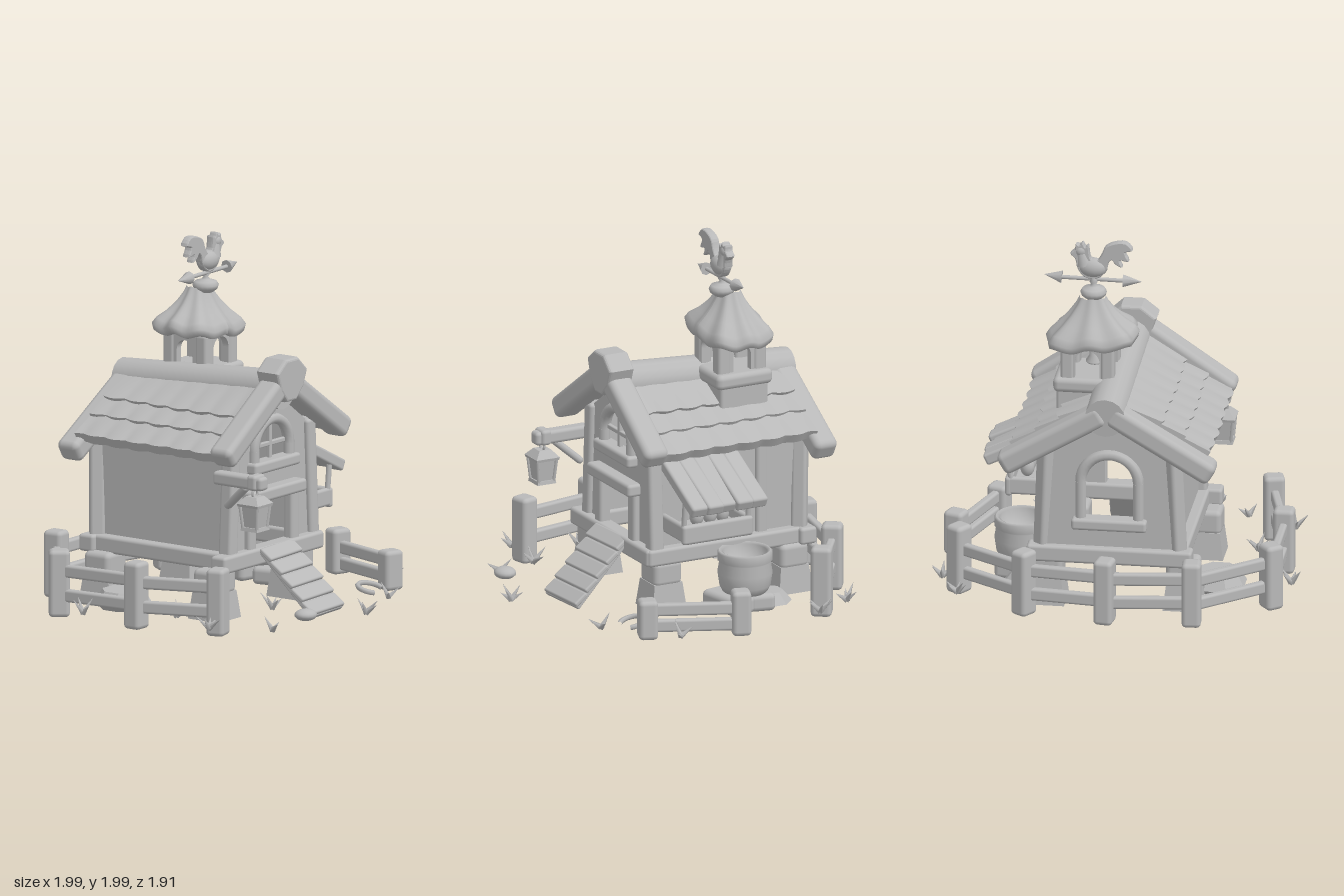
import * as THREE from 'three';
import { RoundedBoxGeometry } from 'three/addons/geometries/RoundedBoxGeometry.js';

const clay = new THREE.MeshStandardMaterial({ color: 0xb8b8b8 });
clay.name = 'clay grey';
const V = (x, y, z) => new THREE.Vector3(x, y, z);
const P = list => list.map(p => new THREE.Vector2(...p));

export function createModel() {
  const root = new THREE.Group();
  root.name = 'henHouse';
  let seed = 7;
  const rnd = () => (seed = (seed * 16807) % 2147483647) / 2147483647;

  const add = (name, geo, x = 0, y = 0, z = 0) => {
    const m = new THREE.Mesh(geo, clay);
    m.name = name;
    m.position.set(x, y, z);
    root.add(m);
    return m;
  };
  const block = (name, w, h, d, x, y, z, r = 0.018) =>
    add(name, new RoundedBoxGeometry(w, h, d, 2, Math.min(r, w / 2.1, h / 2.1, d / 2.1)), x, y, z);
  // rounded timber from point a to point b
  const beam = (name, a, b, w, h, r = 0.02) => {
    const m = block(name, w, h, a.distanceTo(b), 0, 0, 0, r);
    m.position.copy(a).lerp(b, 0.5);
    m.lookAt(b);
    return m;
  };
  const rod = (name, a, b, r0, r1 = r0, sides = 10) => {
    const m = add(name, new THREE.CylinderGeometry(r1, r0, a.distanceTo(b), sides));
    m.position.copy(a).lerp(b, 0.5);
    m.quaternion.setFromUnitVectors(V(0, 1, 0), b.clone().sub(a).normalize());
    return m;
  };
  // tapered prism with flat faces
  const prism = (name, r1, r0, h, sides, x, y, z) => {
    const g = new THREE.CylinderGeometry(r1, r0, h, sides).toNonIndexed();
    g.computeVertexNormals();
    const m = add(name, g, x, y, z);
    m.rotation.y = Math.PI / sides;
    return m;
  };
  const lathe = (name, pts, x, z, sides = 16) => add(name, new THREE.LatheGeometry(P(pts), sides), x, 0, z);
  const ball = (name, x, y, z, rx, ry = rx, rz = rx) =>
    add(name, new THREE.SphereGeometry(1, 14, 10), x, y, z).scale.set(rx, ry, rz);
  const archHole = (x, bottom, spring, r) => {
    const h = new THREE.Path();
    h.moveTo(x - r, bottom).lineTo(x + r, bottom).absarc(x, spring, r, 0, Math.PI, false);
    h.closePath();
    return h;
  };

  // hollow walls: doorway and arched window in front, arched opening behind
  const gable = (apex, holes) => {
    const s = new THREE.Shape(P([[-0.37, 0.32], [0.37, 0.32], [0.35, 0.97], [0, apex], [-0.35, 0.97]]));
    s.holes.push(...holes);
    return new THREE.ExtrudeGeometry(s, { depth: 0.025, bevelEnabled: false, curveSegments: 14 });
  };
  const door = new THREE.Path(P([[-0.17, 0.37], [-0.17, 0.64], [0.15, 0.64], [0.15, 0.37]]));
  add('frontWall', gable(1.22, [door, archHole(-0.01, 0.82, 0.9, 0.145)]), 0, 0, 0.21);
  add('backWall', gable(1.15, [archHole(0, 0.53, 0.75, 0.145)]), 0, 0, -0.69);
  for (const s of [-1, 1]) {
    add('sideWall', new THREE.BoxGeometry(0.025, 0.68, 0.9), s * 0.35, 0.66, -0.23);
    beam('frontCornerPost', V(s * 0.37, 0.34, 0.22), V(s * 0.335, 1.0, 0.22), 0.085, 0.08);
    beam('backCornerPost', V(s * 0.37, 0.34, -0.66), V(s * 0.345, 0.95, -0.68), 0.085, 0.08);
    block('sideSill', 0.1, 0.095, 1.0, s * 0.37, 0.325, -0.22);
  }
  beam('sideMiddlePost', V(0.36, 0.34, -0.43), V(0.36, 0.95, -0.43), 0.05, 0.07);
  block('frontSill', 0.9, 0.095, 0.1, -0.04, 0.325, 0.24);
  block('backSill', 0.9, 0.095, 0.1, 0, 0.325, -0.68);

  // doorway frame
  block('doorPost', 0.07, 0.29, 0.06, -0.205, 0.5, 0.24);
  block('doorPost', 0.075, 0.29, 0.06, 0.18, 0.5, 0.24);
  block('doorLintel', 0.49, 0.07, 0.1, -0.015, 0.66, 0.26);
  block('gablePost', 0.06, 0.14, 0.04, 0, 1.13, 0.235);

  // arched frames, front and back
  const archFrame = (x, bottom, spring, z) => {
    add('archFrame', new THREE.TorusGeometry(0.157, 0.03, 8, 18, Math.PI), x, spring, z);
    for (const s of [-1, 1]) rod('archLeg', V(x + s * 0.157, bottom, z), V(x + s * 0.157, spring, z), 0.03);
    block('archSill', 0.41, 0.065, 0.1, x, bottom - 0.02, z);
  };
  archFrame(-0.01, 0.83, 0.9, 0.245);
  archFrame(0, 0.53, 0.75, -0.695);
  block('windowBar', 0.025, 0.24, 0.025, -0.01, 0.93, 0.23, 0.006);
  block('windowBar', 0.29, 0.025, 0.025, -0.01, 0.92, 0.23, 0.006);

  // stone piers
  for (const [x, z] of [[-0.41, 0.16], [0.31, 0.15], [-0.39, -0.59], [0.35, -0.6]]) {
    block('pierTop', 0.18, 0.14, 0.17, x, 0.22, z, 0.03);
    prism('pierBase', 0.12, 0.145, 0.15, 4, x, 0.09, z);
  }

  // roof courses with scalloped lower edges, the ridge dipping to the back
  const course = (s, x0, y0, x1, y1, k) => {
    const len = Math.hypot(x1 - x0, y1 - y0), tilt = Math.atan2(y1 - y0, x1 - x0);
    const g = new THREE.BoxGeometry(len, 0.045, 0.94, 4, 1, 48);
    const p = g.attributes.position;
    for (let i = 0; i < p.count; i++) {
      const t = p.getX(i) / len + 0.5, z = s * p.getZ(i);
      const wave = Math.abs(Math.sin(z * 22 + k)) * 1.4 - 1 + Math.sin(z * 9 + k) * 0.3;
      const dip = k === 1 ? (0.5 - z / 0.94) * (1 - t) * 0.07 : 0;
      p.setX(i, p.getX(i) + t * wave * 0.013);
      p.setY(i, p.getY(i) * (0.6 + t * 0.7) + wave * 0.006 * t - dip);
    }
    g.computeVertexNormals();
    const m = add('roofCourse', g, s * (x0 + x1) / 2, (y0 + y1) / 2, -0.21);
    m.rotation.set(0, s > 0 ? 0 : Math.PI, s * tilt, 'ZYX');
  };
  for (const s of [-1, 1]) {
    course(s, 0.0, 1.28, 0.28, 1.085, 1);
    course(s, 0.2, 1.12, 0.4, 1.01, 2);
    course(s, 0.33, 1.045, 0.535, 0.925, 3);
    // rake timbers at both gables
    beam('frontRake', V(s * 0.02, 1.275, 0.3), V(s * 0.54, 0.92, 0.3), 0.145, 0.12, 0.035);
    beam('backRake', V(s * 0.02 + 0.01, 1.165, -0.71), V(s * 0.575 + 0.01, 0.835, -0.71), 0.14, 0.125, 0.035);
  }
  rod('ridgeCap', V(0.015, 1.15, -0.77), V(0.015, 1.22, 0.3), 0.11, 0.11, 16);
  const key = new THREE.Shape(P([[-0.11, 1.33], [-0.04, 1.385], [0.06, 1.385], [0.13, 1.32], [0.1, 1.24], [0.04, 1.18], [-0.03, 1.18], [-0.08, 1.24]]));
  add('gableKeystone', new THREE.ExtrudeGeometry(key, { depth: 0.11, bevelSize: 0.015, bevelThickness: 0.02, bevelSegments: 3 }), 0, 0, 0.245);

  // bell tower
  const tx = 0.15, tz = -0.355;
  block('towerBase', 0.34, 0.25, 0.29, tx, 1.1, tz);
  block('towerCollar', 0.37, 0.085, 0.34, tx, 1.225, tz, 0.03);
  for (let i = 0; i < 4; i++) {
    const a = i * Math.PI / 2, c = a + Math.PI / 4;
    const side = new THREE.Shape(P([[-0.14, 1.2], [0.14, 1.2], [0.14, 1.47], [-0.14, 1.47]]));
    side.holes.push(archHole(0, 1.26, 1.355, i % 2 ? 0.053 : 0.068));
    const g = new THREE.ExtrudeGeometry(side, { depth: 0.04, bevelEnabled: false }).translate(0, 0, 0.1);
    add('towerArch', g, tx, 0, tz).rotation.y = a;
    block('towerPost', 0.075, 0.22, 0.075, tx + 0.155 * Math.cos(c), 1.34, tz + 0.155 * Math.sin(c));
  }
  lathe('bell', [[0.045, 1.3], [0.05, 1.31], [0.03, 1.34], [0.025, 1.38], [0.008, 1.4], [0.008, 1.46]], tx - 0.02, tz + 0.02);
  ball('bellClapper', tx - 0.02, 1.3, tz + 0.02, 0.018);
  const tr = new THREE.LatheGeometry(P([[0.09, 1.455], [0.2, 1.43], [0.23, 1.435], [0.238, 1.47], [0.215, 1.505], [0.165, 1.55], [0.12, 1.6], [0.085, 1.65], [0.065, 1.69]]), 64);
  const tp = tr.attributes.position;
  for (let i = 0; i < tp.count; i++) {
    const x = tp.getX(i), z = tp.getZ(i), a = Math.atan2(z, x);
    const t = Math.min(1, Math.hypot(x, z) / 0.23);
    const f = 1 + t * (-0.07 * Math.cos(4 * a) + 0.045 * Math.cos(8 * a));
    tp.setXYZ(i, x * f * 1.1, tp.getY(i) + t * (0.012 * Math.cos(8 * a) - 0.1 * x), z * f * 0.87);
  }
  tr.computeVertexNormals();
  add('towerRoof', tr, 0.138, 0, tz);
  lathe('towerFinial', [[0.04, 1.66], [0.065, 1.68], [0.072, 1.7], [0.06, 1.72], [0.025, 1.73], [0.012, 1.745], [0.022, 1.755], [0.012, 1.78]], 0.14, -0.31);

  // weathervane
  const vz = -0.3;
  rod('vaneArrow', V(-0.06, 1.765, vz), V(0.34, 1.77, vz), 0.011);
  rod('arrowHead', V(-0.02, 1.765, vz), V(-0.12, 1.765, vz), 0.036, 0.001, 8);
  rod('arrowTail', V(0.315, 1.77, vz), V(0.41, 1.78, vz), 0.036, 0.001, 8);
  const hen = [.225, 1.83, .19, 1.785, .14, 1.775, .1, 1.79, .07, 1.83, .06, 1.87, .04, 1.89, .02, 1.865, -.015, 1.85,
    0, 1.89, -.05, 1.885, -.03, 1.935, -.07, 1.95, -.035, 1.99, .03, 1.985, .075, 1.96, .095, 1.915, .12, 1.88, .155, 1.89, .165, 1.93,
    .17, 1.965, .185, 1.955, .2, 1.98, .215, 1.965, .235, 1.97, .24, 1.94, .265, 1.915, .24, 1.89];
  const outline = [];
  for (let i = 0; i < hen.length; i += 2) outline.push(V(hen[i], hen[i + 1], 0));
  const henShape = new THREE.Shape(P(new THREE.CatmullRomCurve3(outline, true).getPoints(84).slice(0, -1).map(p => [p.x, p.y])));
  add('rooster', new THREE.ExtrudeGeometry(henShape, { depth: 0.02, bevelSize: 0.006, bevelOffset: -0.004, bevelThickness: 0.014, bevelSegments: 2 }), 0, 0, vz - 0.01);
  ball('roosterBody', 0.145, 1.835, vz, 0.08, 0.055, 0.05);
  ball('roosterHead', 0.21, 1.93, vz, 0.036, 0.036, 0.033);
  rod('roosterNeck', V(0.19, 1.85, vz), V(0.21, 1.93, vz), 0.045, 0.028);

  // ramp of overlapping boards
  const top = V(-0.015, 0.36, 0.27), foot = V(0.015, 0.025, 0.6);
  beam('ramp', top, foot, 0.31, 0.03, 0.008);
  for (let i = 0; i < 5; i++) {
    const a = top.clone().lerp(foot, i * 0.2), b = top.clone().lerp(foot, i * 0.2 + 0.19);
    beam('rampBoard', a.add(V(0, 0.004, 0.004)), b.add(V(0, 0.014, 0.014)), 0.32, 0.028, 0.01);
  }

  // lantern on a bracket
  beam('lanternArm', V(-0.45, 0.805, 0.2), V(-0.45, 0.805, 0.53), 0.075, 0.075);
  block('armCap', 0.1, 0.085, 0.06, -0.45, 0.81, 0.47);
  beam('armBrace', V(-0.42, 0.64, 0.25), V(-0.45, 0.78, 0.41), 0.05, 0.04);
  const lx = -0.46, lz = 0.47;
  for (const [n, r1, r0, h, y] of [['lanternCap', 0.05, 0.1, 0.04, 0.715], ['lanternRim', 0.1, 0.095, 0.015, 0.688], ['lanternBody', 0.08, 0.063, 0.12, 0.62], ['lanternBase', 0.075, 0.08, 0.02, 0.557]])
    prism(n, r1, r0, h, 4, lx, y, lz);
  for (const sx of [-1, 1]) for (const sz of [-1, 1])
    rod('lanternBar', V(lx + sx * 0.046, 0.56, lz + sz * 0.046), V(lx + sx * 0.058, 0.69, lz + sz * 0.058), 0.01, 0.01, 6);
  add('lanternRing', new THREE.TorusGeometry(0.022, 0.007, 6, 12), lx, 0.75, lz);

  // nesting tray with eggs under a small canopy
  for (let i = 0; i < 5; i++) {
    const z = 0.135 - i * 0.09, e = 0.018 * Math.sin(i * 2.3);
    beam('canopyBoard', V(0.36, 0.845, z), V(0.735 + e, 0.66 + e * 0.3, z), 0.1, 0.065, 0.015);
  }
  block('trayFloor', 0.27, 0.04, 0.4, 0.49, 0.48, -0.03);
  block('trayFront', 0.04, 0.11, 0.43, 0.615, 0.505, -0.03);
  for (const z of [0.165, -0.225]) {
    block('trayEnd', 0.27, 0.1, 0.035, 0.49, 0.51, z);
    beam('canopyStrut', V(0.6, 0.52, z), V(0.62, 0.7, z), 0.03, 0.03);
  }
  for (const [x, z] of [[0.53, 0.05], [0.53, -0.03], [0.53, -0.105], [0.44, 0.0], [0.44, -0.08]]) ball('egg', x, 0.575, z, 0.04, 0.056, 0.04);

  // water tub on stones
  lathe('tub', [[0, 0.11], [0.12, 0.11], [0.14, 0.15], [0.15, 0.22], [0.14, 0.28], [0.15, 0.29], [0.15, 0.335], [0.14, 0.345], [0.12, 0.335], [0.115, 0.24], [0, 0.24]], 0.54, -0.24, 20);
  block('tubStone', 0.28, 0.1, 0.16, 0.54, 0.065, -0.14, 0.03).rotation.y = 0.2;
  block('tubStone', 0.26, 0.1, 0.15, 0.54, 0.065, -0.31, 0.03).rotation.y = -0.2;

  // loose stones and a horseshoe
  prism('stone', 0.12, 0.16, 0.07, 8, -0.545, 0.095, -0.35);
  prism('stone', 0.16, 0.13, 0.03, 8, -0.545, 0.045, -0.35);
  prism('stone', 0.08, 0.13, 0.06, 8, 0.5, 0.05, -0.4);
  ball('pebble', -0.37, 0.1, 0.745, 0.065, 0.033, 0.06);
  add('horseshoe', new THREE.TorusGeometry(0.07, 0.014, 6, 18, 4.7), 0.58, 0.05, 0.47).rotation.set(-Math.PI / 2 + 0.25, 0, -0.6);

  // fence: [x, z, height]
  const fence = (posts, rails) => posts.forEach(([x, z, h], i) => {
    const next = posts[i + 1], prev = posts[i - 1] || posts[1];
    block('fencePost', 0.115, h, 0.105, x, h / 2 + 0.01, z, 0.025).rotation.y = Math.atan2(x - prev[0], z - prev[1]);
    if (next) rails.forEach(y => beam('fenceRail', V(x, y, z), V(next[0], y + 0.01, next[1]), 0.045, 0.07, 0.015));
  });
  fence([[0.84, -0.55, 0.39], [0.45, -0.82, 0.37], [0, -0.89, 0.37], [-0.47, -0.86, 0.37], [-0.86, -0.55, 0.37], [-0.86, -0.03, 0.37], [-0.74, 0.43, 0.37]], [0.13, 0.265]);
  fence([[0.93, -0.01, 0.25], [0.76, 0.47, 0.22]], [0.07, 0.16]);

  // grass tufts: [x, z, base height, blades]
  for (const [x, z, y, n] of [[-0.85, 0.45, 0.07, 5], [-0.7, 0.12, 0.07, 5], [-0.94, -0.33, 0.07, 4], [0.83, -0.71, 0.07, 5], [0.94, -0.49, 0.07, 5],
    [-0.02, 0.89, 0.07, 5], [-0.41, 0.55, 0.12, 5], [-0.57, 0.67, 0.04, 3], [0.53, 0.63, 0.03, 3], [0.92, 0.35, 0.05, 3]])
    for (let i = 0; i < n; i++) {
      const a = i / n * 6.28 + rnd(), r = 0.05 + rnd() * 0.03, h = 0.03 + rnd() * 0.05;
      rod('grassBlade', V(x, y, z), V(x + Math.cos(a) * r, y + h, z + Math.sin(a) * r), 0.018, 0.001, 4);
    }
  return root;
}
